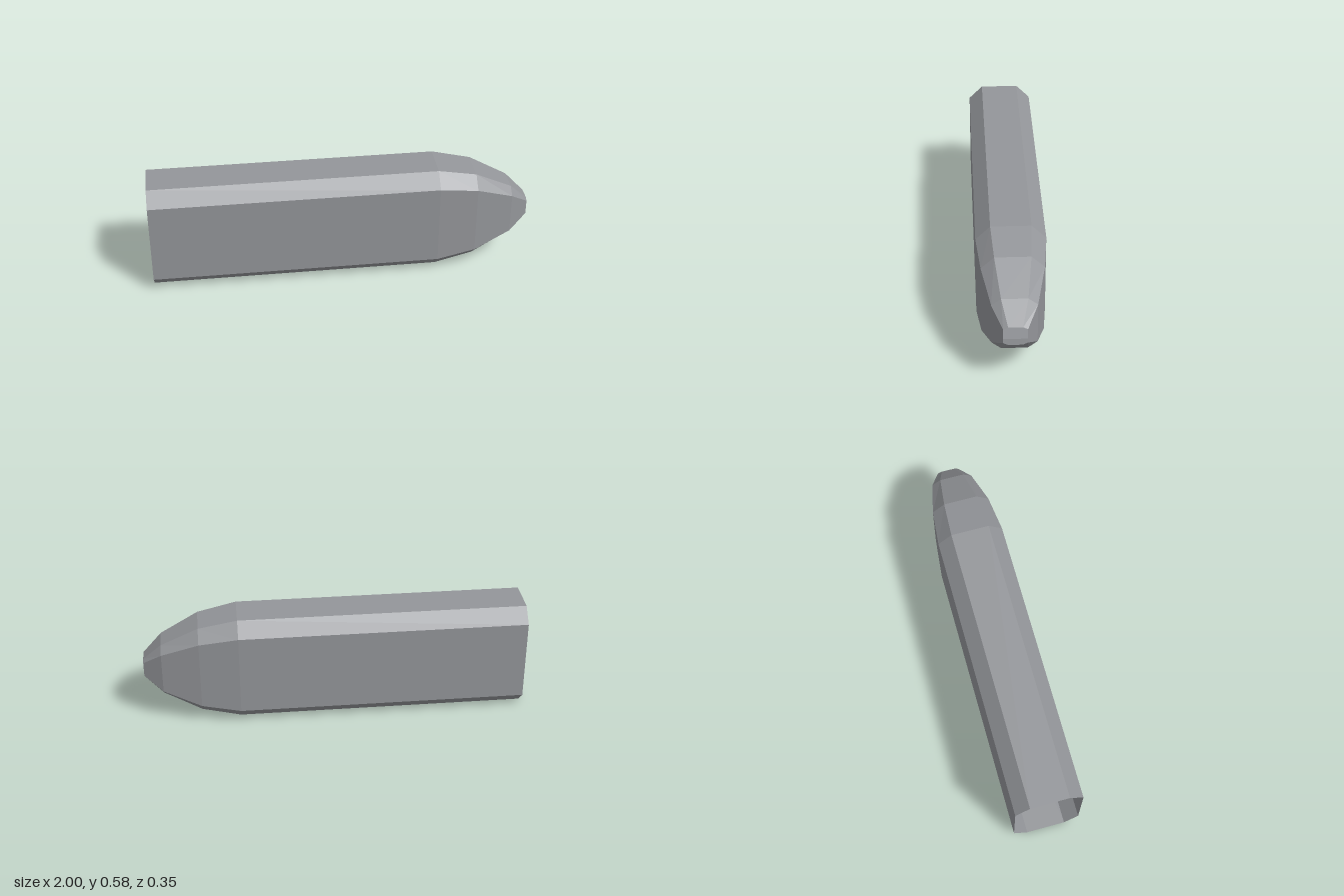
import * as THREE from 'three';

// Stations along the shell: x, half height, half height of the side panel,
// half depth, half depth of the top panel
const STATIONS = [
  [-1, 0.289, 0.217, 0.174, 0.101],
  [0.505, 0.289, 0.217, 0.174, 0.101],
  [0.708, 0.246, 0.185, 0.154, 0.089],
  [0.904, 0.145, 0.109, 0.11, 0.064],
  [1, 0.051, 0.039, 0.058, 0.035],
];
const CENTER_Y = 0.29;

// Chamfered rectangle, running counter-clockwise about +x
function section([x, h, hs, d, dt]) {
  return [
    [h, -dt], [h, dt], [hs, d], [-hs, d],
    [-h, dt], [-h, -dt], [-hs, -d], [hs, -d],
  ].map(([y, z]) => [x, CENTER_Y + y, z]);
}

// Skin the sections with separate faces for a faceted look; both ends stay open
function loft(rings) {
  const positions = [];
  for (let s = 0; s < rings.length - 1; s++) {
    const n = rings[s].length;
    for (let i = 0; i < n; i++) {
      const j = (i + 1) % n;
      const a = rings[s][i], b = rings[s + 1][i];
      const c = rings[s + 1][j], d = rings[s][j];
      positions.push(...a, ...d, ...c, ...a, ...c, ...b);
    }
  }
  const geometry = new THREE.BufferGeometry();
  geometry.setAttribute('position', new THREE.Float32BufferAttribute(positions, 3));
  geometry.computeVertexNormals();
  return geometry;
}

export function createModel() {
  const group = new THREE.Group();
  group.name = 'taperedShell';
  const material = new THREE.MeshStandardMaterial({
    color: 0x94969a, flatShading: true, side: THREE.DoubleSide,
  });
  const rings = STATIONS.map(section);

  // Straight tube
  const body = new THREE.Mesh(loft(rings.slice(0, 2)), material);
  body.name = 'body';

  // Tapering nose with a small opening at the tip
  const nose = new THREE.Mesh(loft(rings.slice(1)), material);
  nose.name = 'nose';

  group.add(body, nose);
  return group;
}
